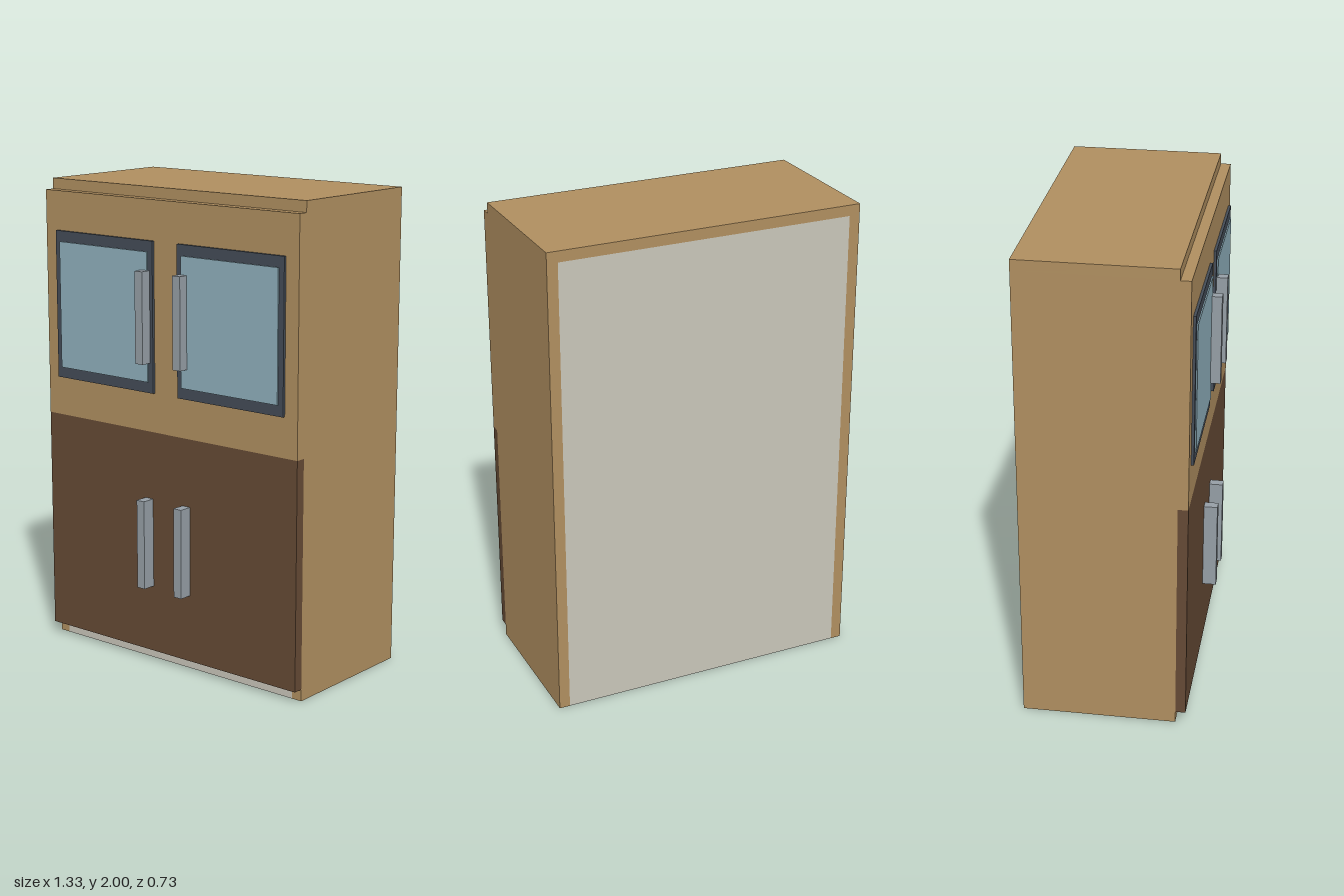
import * as THREE from 'three';

const mat = (name, color) => {
  const m = new THREE.MeshStandardMaterial({ color });
  m.name = name;
  return m;
};

export function createModel() {
  const oak = mat('light oak', 0xb08f60);
  const walnut = mat('dark walnut', 0x654a35);
  const lining = mat('pale lining', 0xc9c6ba);
  const frame = mat('slate frame', 0x444c57);
  const glass = mat('blue glass', 0x8fb0bd);
  const metal = mat('grey metal', 0x969fa6);

  const cabinet = new THREE.Group();
  cabinet.name = 'cabinet';

  // Box given by its limits on each axis
  const box = (name, material, [x0, x1], [y0, y1], [z0, z1]) => {
    const mesh = new THREE.Mesh(new THREE.BoxGeometry(x1 - x0, y1 - y0, z1 - z0), material);
    mesh.position.set((x0 + x1) / 2, (y0 + y1) / 2, (z0 + z1) / 2);
    mesh.name = name;
    cabinet.add(mesh);
  };
  // Same box on the left (+x) and right (-x)
  const pair = (name, material, [x0, x1], y, z) => {
    box(name + 'Left', material, [x0, x1], y, z);
    box(name + 'Right', material, [-x1, -x0], y, z);
  };

  const W = 0.665, back = -0.367, face = 0.268, front = 0.31, t = 0.045;

  // Carcass: side and top panels around a pale core that shows at back, base and plinth
  pair('sidePanel', oak, [W - t, W], [0, 2 - t], [back, face]);
  box('topPanel', oak, [-W, W], [2 - t, 2], [back, face]);
  box('core', lining, [-W + t, W - t], [0, 2 - t], [back, face]);

  // Upper and lower door fronts
  box('upperFront', oak, [-W, W], [1, 2 - t], [face, front]);
  box('lowerFront', walnut, [-W, W], [0.05, 1], [face, front]);

  // Windows
  pair('windowFrame', frame, [0.065, 0.602], [1.165, 1.79], [front, 0.321]);
  pair('windowPane', glass, [0.09, 0.577], [1.21, 1.745], [0.321, 0.326]);

  // Handles
  pair('upperHandle', metal, [0.08, 0.12], [1.29, 1.67], [front, 0.367]);
  pair('lowerHandle', metal, [0.08, 0.12], [0.337, 0.715], [front, 0.367]);

  return cabinet;
}
